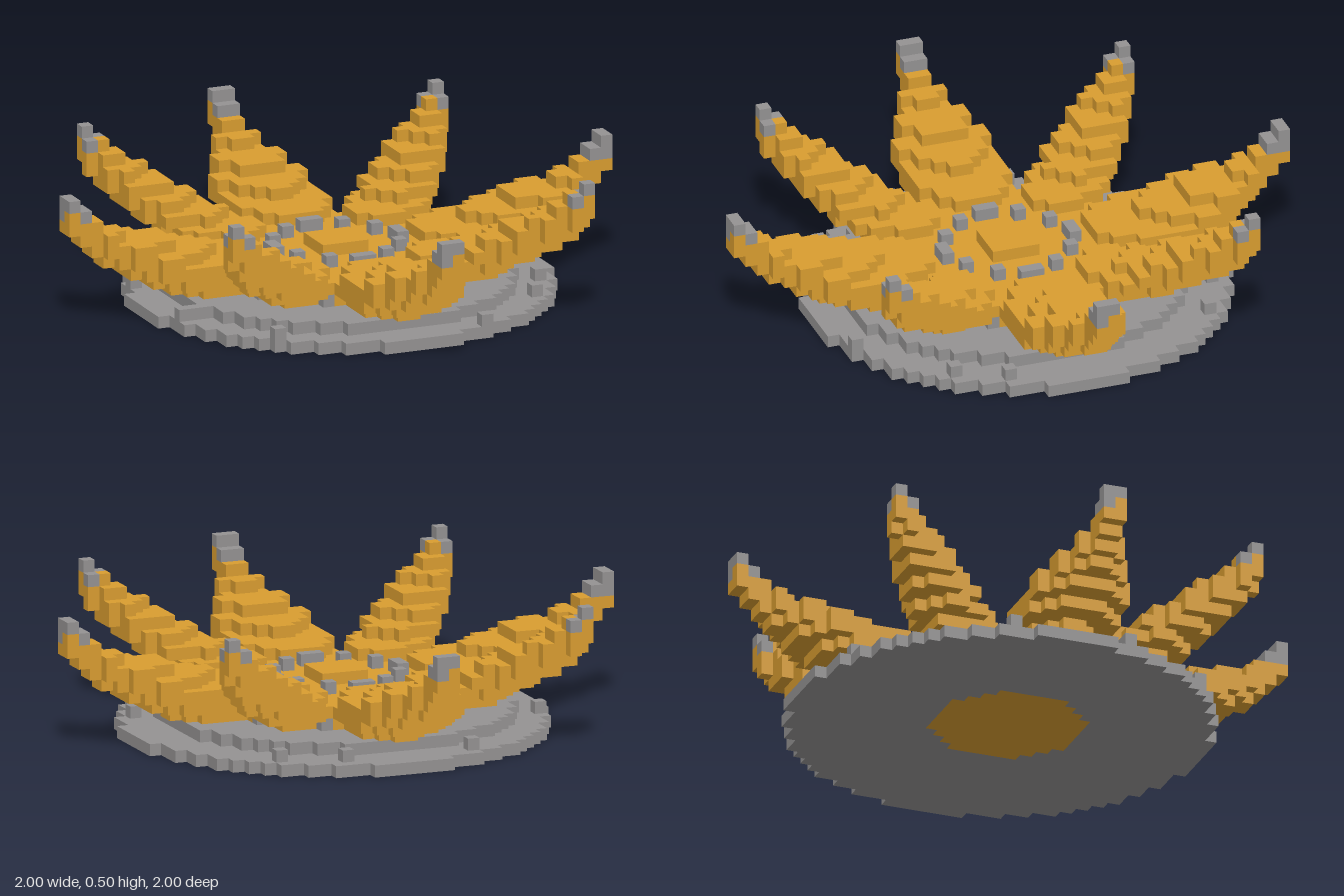
import * as THREE from 'three';

const S = 1 / 24; // edge of one cube
const gold = new THREE.MeshStandardMaterial({ color: 0xd99d30 });
gold.name = 'gold';
const grey = new THREE.MeshStandardMaterial({ color: 0x949292 });
grey.name = 'stone grey';

// Stations along a petal: distance out, centre height, half thickness, half width
const STRAIGHT = [[4, 2.6, 1.4, 3.2], [6, 2.8, 1.5, 4.2], [9, 3.4, 1.7, 4.3], [13, 4, 2, 4.3], [16, 4.9, 2, 4.1],
  [18, 5.6, 1.7, 3.1], [20, 6.5, 1.6, 2.1], [21.5, 7.5, 1.6, 1.3], [22.5, 8.5, 1.6, 1.1], [24, 9.6, 1.6, 1.1]];
const DIAGONAL = [[4, 2.6, 1.4, 2.5], [6, 2.8, 1.5, 3], [8.5, 3.4, 1.6, 3.2], [11.3, 4.3, 1.7, 3.2], [14, 5.4, 1.7, 2.9],
  [16.3, 6.5, 1.7, 2.5], [18.5, 7.8, 1.7, 2], [20.4, 9, 1.7, 1.2], [22, 10.4, 1.7, 1.2]];

function station(table, r) {
  for (let i = 1; i < table.length; i++) {
    const a = table[i - 1], b = table[i];
    if (r >= a[0] && r <= b[0]) {
      const t = (r - a[0]) / (b[0] - a[0]);
      return a.map((v, k) => v + (b[k] - v) * t);
    }
  }
  return null;
}

const cells = new Map();
const key = (x, y, z) => [x, y, z].join(',');
const put = (x, y, z, part) => cells.set(key(x, y, z), { x, y, z, part });

function disc(radius, y, part, cx = 0, cz = 0) {
  for (let x = -24; x < 24; x++) for (let z = -24; z < 24; z++) {
    if (Math.hypot(x + 0.5 - cx, z + 0.5 - cz) <= radius) put(x, y, z, part);
  }
}

// A tapering, upward-curving petal with a grey tip
function petal(index) {
  const angle = index * Math.PI / 4, diagonal = index % 2 === 1;
  const table = diagonal ? DIAGONAL : STRAIGHT;
  const dx = Math.cos(angle), dz = Math.sin(angle);
  for (let x = -24; x < 24; x++) for (let z = -24; z < 24; z++) {
    const px = x + 0.5, pz = z + 0.5;
    const r = px * dx + pz * dz, v = pz * dx - px * dz;
    const s = station(table, r);
    if (!s) continue;
    for (let y = 2; y < 12; y++) {
      if (((y + 0.5 - s[1]) / s[2]) ** 2 + Math.abs(v / s[3]) ** 1.6 > 1) continue;
      const tip = diagonal ? y === 11 || (y === 10 && Math.abs(v) > 0.3)
        : y >= 10 || (y === 9 && (r < 23 || v > 0));
      put(x, y, z, (tip ? 'tip' : 'petal') + (index + 1));
    }
  }
}

// Outer faces of all cubes belonging to one part
function partGeometry(part) {
  const pos = [], nor = [], idx = [];
  for (const c of cells.values()) {
    if (c.part !== part) continue;
    for (let axis = 0; axis < 3; axis++) for (const sign of [-1, 1]) {
      const n = [0, 0, 0];
      n[axis] = sign;
      if (cells.has(key(c.x + n[0], c.y + n[1], c.z + n[2]))) continue;
      const first = pos.length / 3;
      for (const [a, b] of [[0, 0], [1, 0], [1, 1], [0, 1]]) {
        const p = [c.x, c.y, c.z];
        p[axis] += sign > 0 ? 1 : 0;
        p[(axis + 1) % 3] += a;
        p[(axis + 2) % 3] += b;
        pos.push(p[0] * S, p[1] * S, p[2] * S);
        nor.push(...n);
      }
      const order = sign > 0 ? [0, 1, 2, 0, 2, 3] : [0, 2, 1, 0, 3, 2];
      idx.push(...order.map(i => first + i));
    }
  }
  const g = new THREE.BufferGeometry();
  g.setAttribute('position', new THREE.Float32BufferAttribute(pos, 3));
  g.setAttribute('normal', new THREE.Float32BufferAttribute(nor, 3));
  g.setIndex(idx);
  return g;
}

export function createModel() {
  cells.clear();

  // Stepped round base, its lowest step slightly off centre
  disc(17.4, 0, 'base', 0.5, -0.5);
  disc(14.5, 1, 'base');
  disc(10, 2, 'base');

  // Loose pebbles on the rim
  for (const [x, z] of [[15, 5], [-16, -6], [-16, 4], [-15, 4], [6, 15], [-6, -16], [10, -14],
    [-11, 12], [5, -16], [13, 9]]) put(x, 1, z, 'pebbles');

  for (let i = 0; i < 8; i++) petal(i);

  // Domed hub running through the base
  for (let y = 0; y < 4; y++) disc(6.2, y, 'hub');
  disc(2.3, 4, 'hub');

  // Ring of small raised studs round the hub
  const mirror = i => [i, -1 - i];
  for (const [a, b] of [[0, 5], [2, 4], [4, 2], [5, 0]]) {
    for (const x of mirror(a)) for (const z of mirror(b)) put(x, 4, z, 'studs');
  }

  const model = new THREE.Group();
  model.name = 'petalledOrnament';
  const parts = new Set([...cells.values()].map(c => c.part));
  for (const part of parts) {
    const golden = part === 'hub' || part.startsWith('petal');
    const mesh = new THREE.Mesh(partGeometry(part), golden ? gold : grey);
    mesh.name = part;
    model.add(mesh);
  }
  return model;
}
